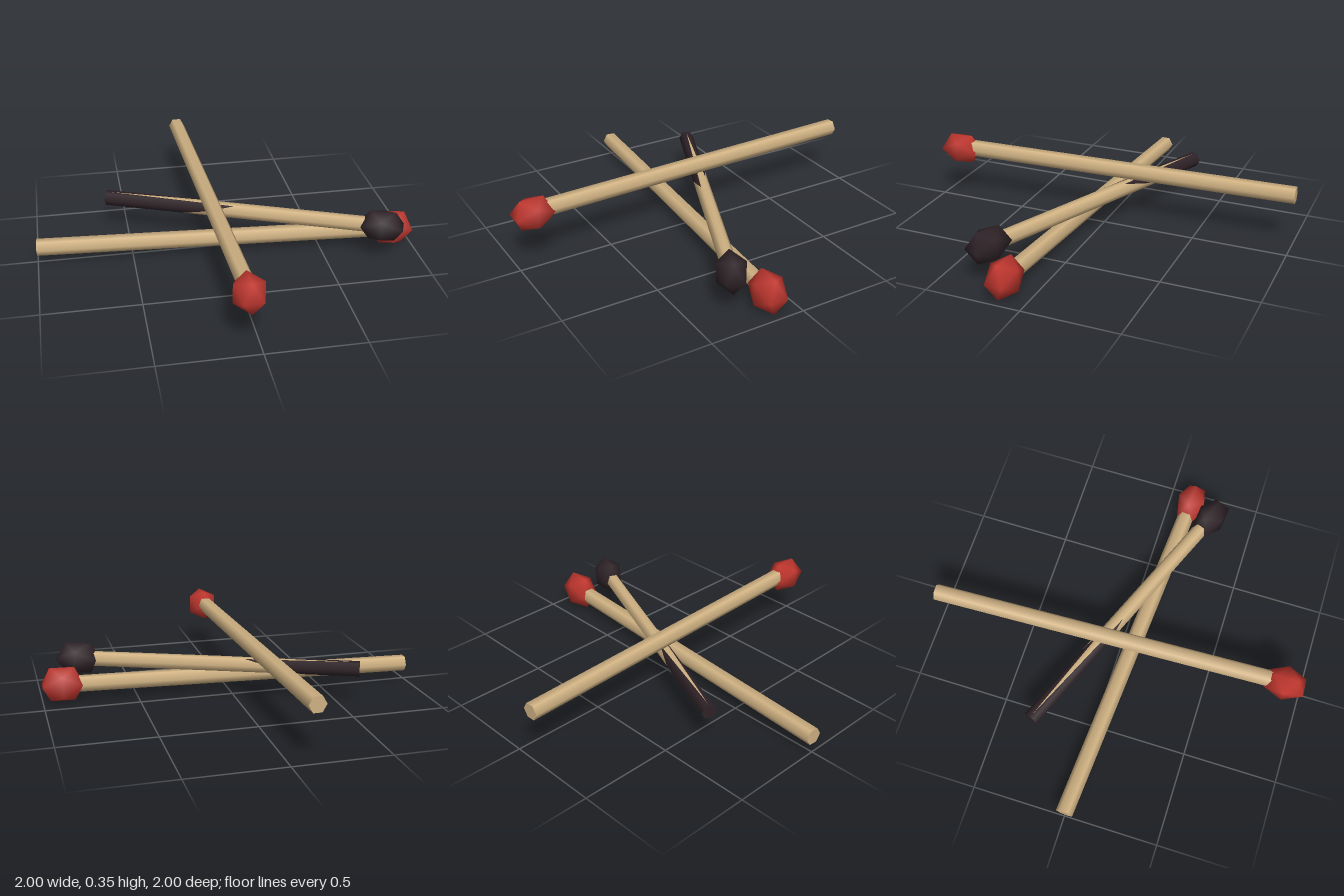
import * as THREE from 'three';
import { mergeVertices } from 'three/addons/utils/BufferGeometryUtils.js';

const wood = new THREE.MeshStandardMaterial({ color: 0xd0b283 });
wood.name = 'pale wood';
const red = new THREE.MeshStandardMaterial({ color: 0xbf362e });
red.name = 'red tip';
const char = new THREE.MeshStandardMaterial({ color: 0x2e2227 });
char.name = 'charred black';

function add(parent, name, geometry, material) {
  const mesh = new THREE.Mesh(geometry, material);
  mesh.name = name;
  parent.add(mesh);
  return mesh;
}

// Group whose local +x runs along the match, starting at the bare end
function matchFrame(name, from, to) {
  const group = new THREE.Group();
  group.name = name;
  group.position.set(...from);
  group.rotation.y = Math.atan2(from[2] - to[2], to[0] - from[0]);
  return group;
}

// Smooth, stretched icosahedron; half sizes are along, up and across the match
function headGeometry(half) {
  let geo = new THREE.IcosahedronGeometry(1, 0);
  geo.deleteAttribute('normal');
  geo.deleteAttribute('uv');
  geo = mergeVertices(geo);
  const unit = 0.8507;
  geo.scale(half[0] / unit, half[1] / unit, half[2] / unit);
  geo.computeVertexNormals();
  return geo;
}

function addHead(group, from, center, half, material) {
  const length = Math.hypot(center[0] - from[0], center[2] - from[2]);
  const head = add(group, 'head', headGeometry(half), material);
  head.position.set(length, center[1] - from[1], 0);
  return length;
}

// Six-sided stick with flats on top and bottom
function stickGeometry(radius, length) {
  const geo = new THREE.CylinderGeometry(radius, radius, length, 6);
  geo.rotateZ(-Math.PI / 2);
  geo.translate(length / 2, 0, 0);
  return geo;
}

// Strip around the stick between two lengths given for each profile point
function sleeve(profile, starts, ends) {
  const pos = [], normal = [], index = [];
  const n = profile.length;
  for (let i = 0; i <= n; i++) {
    const [degrees, r] = profile[i % n];
    const a = THREE.MathUtils.degToRad(degrees);
    const s = Math.sin(a), c = Math.cos(a);
    for (const x of [starts[i % n], ends[i % n]]) {
      pos.push(x, r * s, r * c);
      normal.push(0, s, c);
    }
    if (i < n) {
      const k = 2 * i;
      index.push(k, k + 1, k + 3, k, k + 3, k + 2);
    }
  }
  const geo = new THREE.BufferGeometry();
  geo.setAttribute('position', new THREE.Float32BufferAttribute(pos, 3));
  geo.setAttribute('normal', new THREE.Float32BufferAttribute(normal, 3));
  geo.setIndex(index);
  return geo;
}

function freshMatch(name, from, center, half) {
  const group = matchFrame(name, from, center);
  const length = addHead(group, from, center, half, red);
  add(group, 'stick', stickGeometry(0.045, length), wood);
  return group;
}

function burntMatch(name, from, center, half) {
  const group = matchFrame(name, from, center);
  const length = addHead(group, from, center, half, char);
  const r = 0.041;
  // Profile: front, top front, top middle, top back, back, bottom back, bottom front
  const profile = [[0, r], [60, r], [90, r * 0.866], [120, r], [180, r], [240, r], [300, r]];
  const burn = [0.58, 0.72, 0.02, 0.6, 0.45, 0.3, 0.44];
  add(group, 'charredSleeve', sleeve(profile, burn.map(() => 0), burn), char);
  add(group, 'bareStick', sleeve(profile, burn, burn.map(() => length)), wood);
  const cap = add(group, 'charredEnd', new THREE.CircleGeometry(r, 6), char);
  cap.rotation.y = -Math.PI / 2;
  return group;
}

export function createModel() {
  const model = new THREE.Group();
  model.name = 'matches';
  model.add(
    freshMatch('bottomMatch', [-1, 0.093, 0.003], [0.893, 0.095, 0.131], [0.105, 0.092, 0.075]),
    burntMatch('burntMatch', [-0.605, 0.19, -0.308], [0.79, 0.19, 0.268], [0.11, 0.083, 0.072]),
    freshMatch('topMatch', [-0.12, 0.288, -1], [-0.05, 0.277, 0.895], [0.103, 0.08, 0.077]),
  );
  return model;
}
